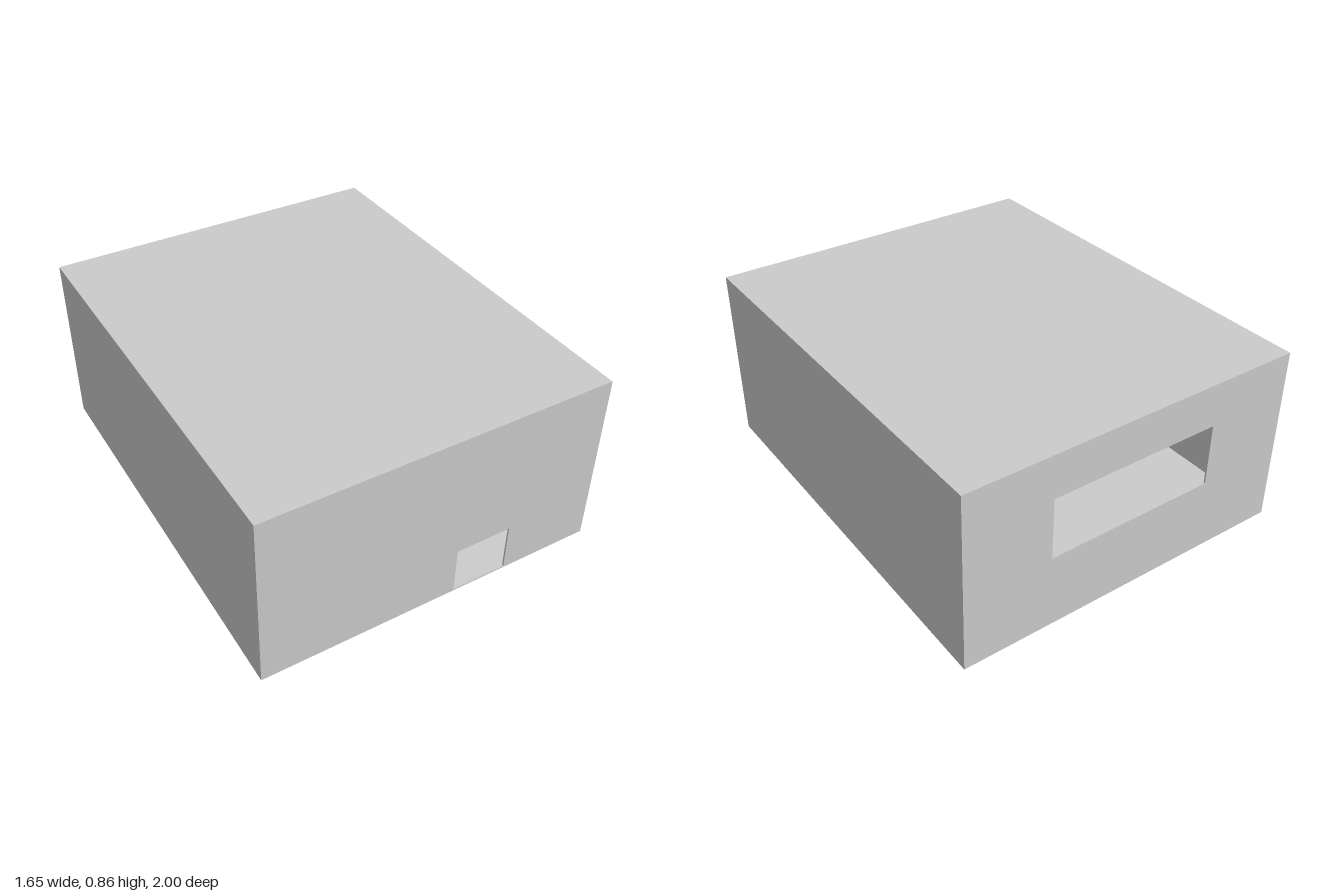
import * as THREE from 'three';

const W = 1.65, H = 0.857, D = 2, T = 0.008;
const material = new THREE.MeshStandardMaterial({ color: 0xcccccc, flatShading: true });

function trace(path, x0, y0, x1, y1) {
  path.moveTo(x0, y0);
  path.lineTo(x1, y0);
  path.lineTo(x1, y1);
  path.lineTo(x0, y1);
  path.closePath();
  return path;
}

// Full-size rectangle with one rectangular opening, extruded along z
function frame(name, opening, depth, z) {
  const shape = trace(new THREE.Shape(), -W / 2, 0, W / 2, H);
  shape.holes.push(trace(new THREE.Path(), ...opening));
  const geometry = new THREE.ExtrudeGeometry(shape, { depth, bevelEnabled: false });
  const mesh = new THREE.Mesh(geometry, material);
  mesh.name = name;
  mesh.position.z = z;
  return mesh;
}

export function createModel() {
  const model = new THREE.Group();
  model.name = 'hollowBuilding';
  model.add(
    // Floor, roof and side walls around the hollow interior
    frame('floorRoofAndSideWalls', [-W / 2 + T, T, W / 2 - T, H - T], D - 2 * T, -D / 2 + T),
    // Front wall with the small doorway
    frame('frontWall', [0.11, T, 0.38, 0.238], T, D / 2 - T),
    // Back wall with the wide window
    frame('backWall', [-0.41, 0.355, 0.41, 0.65], T, -D / 2),
  );
  return model;
}
